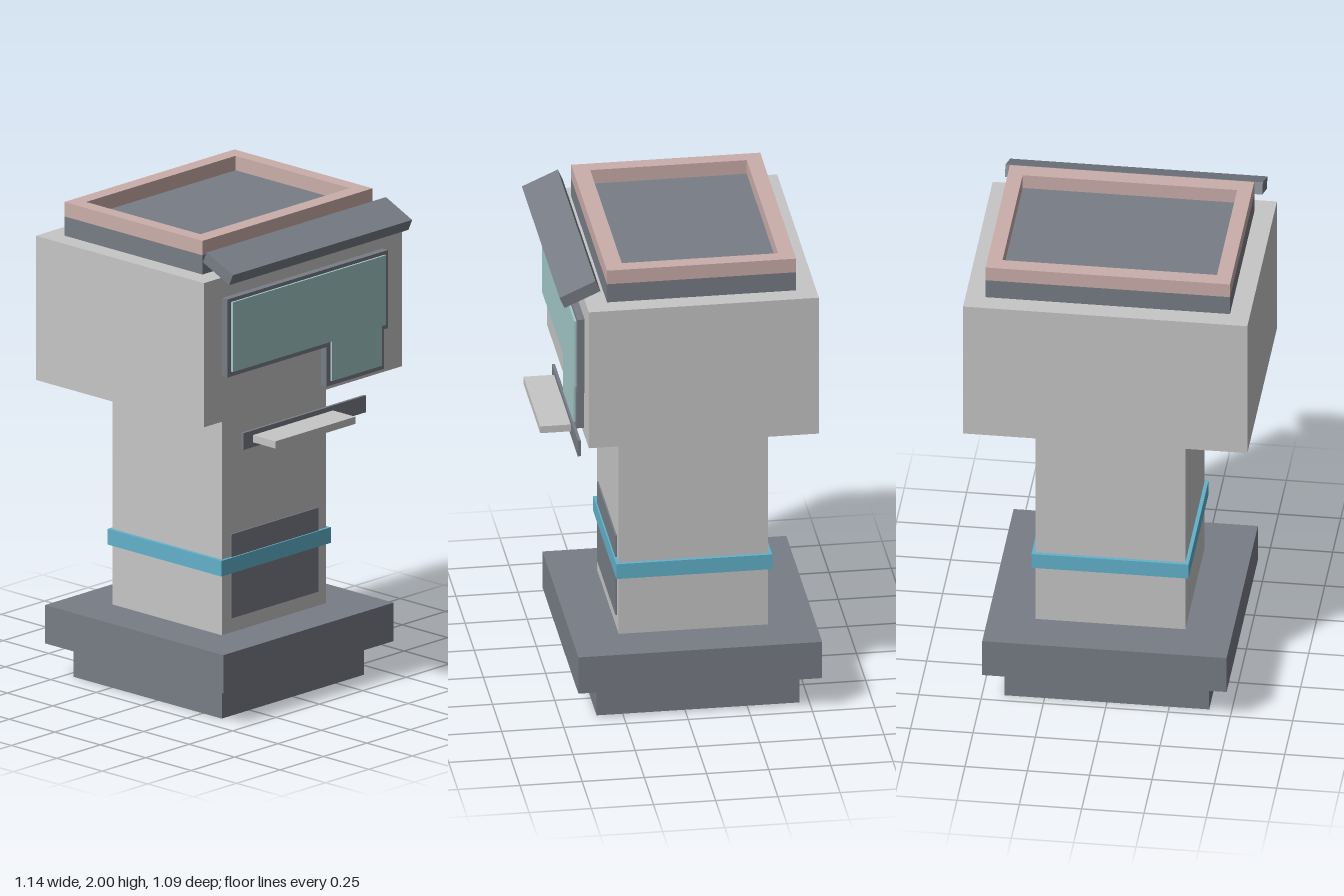
import * as THREE from 'three';

const mat = (name, color) => {
  const m = new THREE.MeshStandardMaterial({ color });
  m.name = name;
  return m;
};

export function createModel() {
  const grey = mat('light grey', 0xc6c6c7);
  const dark = mat('slate grey', 0x787d86);
  const pink = mat('dusty pink', 0xcbaeab);
  const cyan = mat('band blue', 0x62b2cc);
  const glass = mat('screen teal', 0xa3c9c9);

  const model = new THREE.Group();
  model.name = 'kiosk';

  const add = (name, geometry, material) => {
    const mesh = new THREE.Mesh(geometry, material);
    mesh.name = name;
    model.add(mesh);
    return mesh;
  };
  // Box given by its extents along each axis
  const box = (name, material, [x0, x1], [y0, y1], [z0, z1]) => {
    const mesh = add(name, new THREE.BoxGeometry(x1 - x0, y1 - y0, z1 - z0), material);
    mesh.position.set((x0 + x1) / 2, (y0 + y1) / 2, (z0 + z1) / 2);
    return mesh;
  };
  const toPoints = (list) => list.map(([x, y]) => new THREE.Vector2(x, y));
  const extrude = (shape, depth) => new THREE.ExtrudeGeometry(shape, { depth, bevelEnabled: false });

  // Stepped base, column and its band
  box('baseFoot', dark, [-0.41, 0.41], [0, 0.14], [-0.46, 0.355]);
  box('basePlinth', dark, [-0.49, 0.49], [0.14, 0.3], [-0.54, 0.44]);
  box('column', grey, [-0.3, 0.3], [0.3, 1.26], [-0.35, 0.25]);
  box('columnPanel', dark, [-0.25, 0.25], [0.36, 0.71], [0.25, 0.256]);
  box('columnBand', cyan, [-0.315, 0.315], [0.55, 0.615], [-0.365, 0.262]);

  // Head with a raised cap
  box('head', grey, [-0.57, 0.57], [1.26, 1.86], [-0.515, 0.41]);
  box('cap', dark, [-0.49, 0.49], [1.86, 1.94], [-0.435, 0.325]);

  // Open rim around the cap, drawn flat and laid down (shape y = -z)
  const rim = new THREE.Shape(toPoints([[-0.49, -0.325], [0.49, -0.325], [0.49, 0.435], [-0.49, 0.435]]));
  rim.holes.push(new THREE.Path(toPoints([[-0.43, -0.257], [-0.43, 0.372], [0.43, 0.372], [0.43, -0.257]])));
  const rimMesh = add('capRim', extrude(rim, 0.06), pink);
  rimMesh.rotation.x = -Math.PI / 2;
  rimMesh.position.y = 1.94;

  // Tilted visor above the screen
  const visor = add('visor', new THREE.BoxGeometry(1.032, 0.05, 0.158), dark);
  visor.position.set(-0.002, 1.914, 0.437);
  visor.rotation.x = 0.42;

  // Stepped screen: frame and glass
  const steppedShape = (x0, x1, top, step, lx0, lx1, bottom) => new THREE.Shape(toPoints([
    [x0, top], [x0, step], [lx0, step], [lx0, bottom], [lx1, bottom], [lx1, step], [x1, step], [x1, top],
  ]));
  add('screenFrame', extrude(steppedShape(-0.465, 0.458, 1.775, 1.45, 0.105, 0.434, 1.285), 0.03), dark)
    .position.z = 0.41;
  add('screenGlass', extrude(steppedShape(-0.445, 0.438, 1.76, 1.47, 0.126, 0.414, 1.305), 0.009), glass)
    .position.z = 0.44;

  // Tray under the head
  box('trayPlate', dark, [-0.355, 0.35], [1.12, 1.19], [0.41, 0.422]);
  box('tray', grey, [-0.3, 0.16], [1.14, 1.17], [0.422, 0.545]);

  return model;
}
